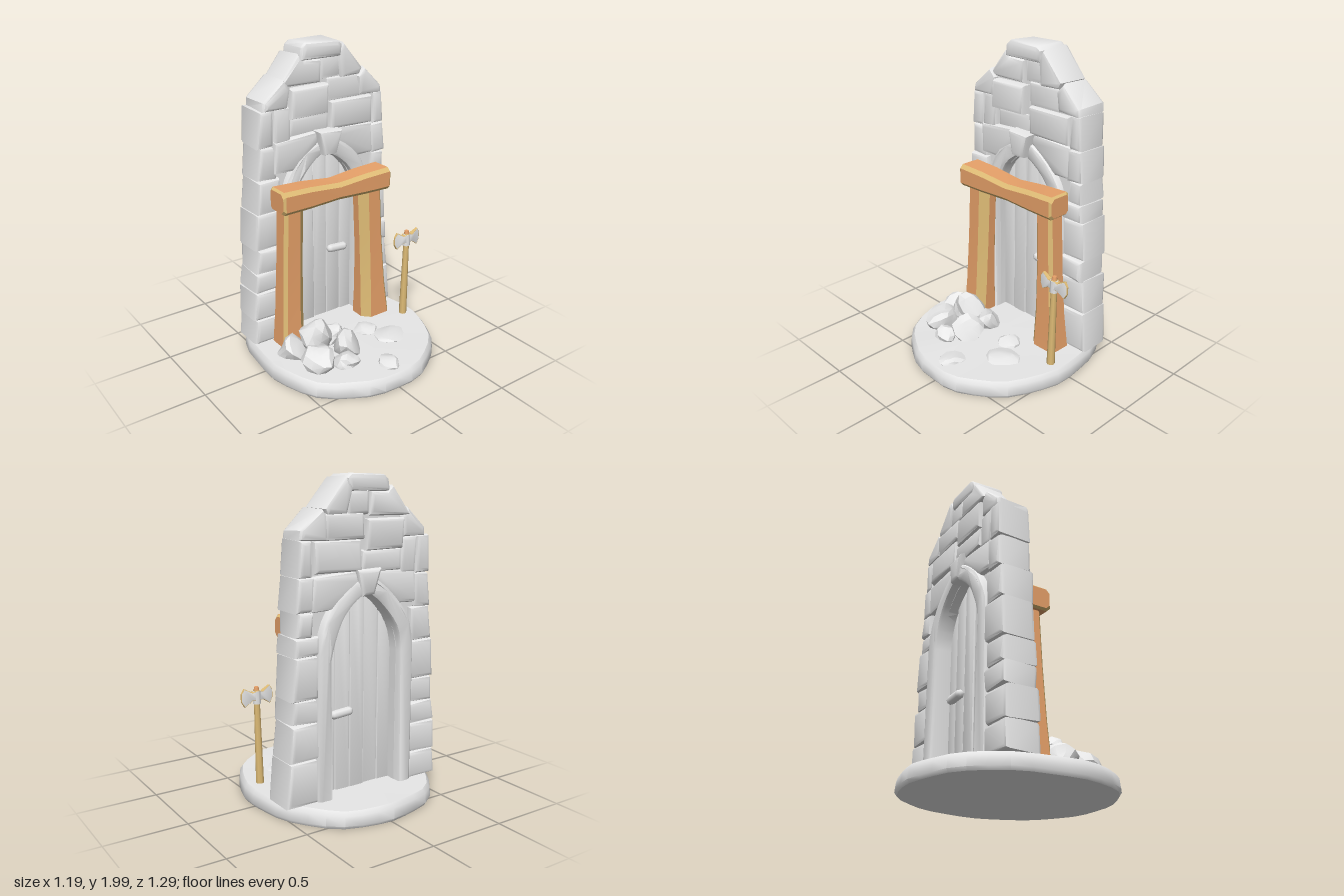
import * as THREE from 'three';
import { toCreasedNormals } from 'three/addons/utils/BufferGeometryUtils.js';

const mat = (name, color) => Object.assign(new THREE.MeshStandardMaterial({ color }), { name });

export function createModel() {
  const stone = mat('pale grey stone', 0xefefef);
  const wood = mat('orange wood', 0xeba46b);
  const worn = mat('worn tan wood', 0xdfbc76);
  const root = new THREE.Group();

  const add = (name, geo, material, parent = root) => {
    const m = new THREE.Mesh(geo, material);
    m.name = name;
    parent.add(m);
    return m;
  };
  const group = (name) => {
    const g = new THREE.Group();
    g.name = name;
    root.add(g);
    return g;
  };
  // Moves every vertex by a smooth rule so shapes look hand-hewn
  const warp = (geo, amount, freq, seed) => {
    const p = geo.attributes.position;
    for (let i = 0; i < p.count; i++) {
      const x = p.getX(i), y = p.getY(i), z = p.getZ(i);
      p.setXYZ(i,
        x + amount * Math.sin(freq * (y + z * 0.7) + seed),
        y + amount * Math.sin(freq * (x * 1.1 + z) + seed * 2.3),
        z + amount * Math.sin(freq * (x + y * 1.3) + seed * 1.7));
    }
    return geo;
  };
  const toShape = (pts) => new THREE.Shape(pts.map(([x, y]) => new THREE.Vector2(x, y)));
  const rect = (x0, x1, y0, y1) => [[x0, y0], [x1, y0], [x1, y1], [x0, y1]];
  const mirror = (pts) => pts.map(([x, y]) => [-x, y]).reverse();
  // Extrudes a shape from z0 to z1 with rounded edges
  const slab = (shape, z0, z1, b) => new THREE.ExtrudeGeometry(shape, {
    depth: z1 - z0 - 2 * b, bevelEnabled: b > 0, bevelSize: b, bevelOffset: -b,
    bevelThickness: b, bevelSegments: 2, curveSegments: 8,
  }).translate(0, 0, z0 + b);

  // Round ground slab with an uneven rim
  const profile = [[0, 0.01], [0.98, 0.01], [1, 0.03], [0.99, 0.09], [0.96, 0.115], [0.5, 0.118], [0, 0.12]];
  const base = new THREE.LatheGeometry(profile.map(([r, y]) => new THREE.Vector2(r, y)), 36);
  const bp = base.attributes.position;
  for (let i = 0; i < bp.count; i++) {
    const x = bp.getX(i), y = bp.getY(i), z = bp.getZ(i), a = Math.atan2(z, x);
    const r = 1 + 0.008 * Math.sin(5 * a + 1) + 0.008 * Math.sin(11 * a) + 0.03 * Math.sin(2 * a) ** 2;
    const bump = y > 0.05 ? 0.004 * Math.sin(7 * x + 5 * z) * Math.hypot(x, z) : 0;
    bp.setXYZ(i, x * r * 0.584 - 0.012, y + bump, z * r * 0.642);
  }
  add('groundSlab', toCreasedNormals(base, 0.7), stone);

  // Pointed arch outline
  const archPath = (Kind, w, bottom, spring, shoulder, top) => {
    const s = new Kind();
    s.moveTo(-w, bottom);
    s.lineTo(w, bottom);
    s.lineTo(w, spring);
    s.quadraticCurveTo(w * 0.94, shoulder, 0.02, top);
    s.lineTo(-0.02, top);
    s.quadraticCurveTo(-w * 0.94, shoulder, -w, spring);
    s.lineTo(-w, bottom);
    return s;
  };
  const doorHole = () => archPath(THREE.Path, 0.245, 0.11, 0.95, 1.2, 1.31);

  // Mortar core behind the stones, its sill sunk in the ground
  const coreSide = [[0.47, 0.04], [0.43, 1.2], [0.41, 1.62], [0.11, 1.93]];
  const core = toShape([...coreSide, ...mirror(coreSide)]);
  core.holes.push(doorHole());
  add('wallCore', toCreasedNormals(slab(core, -0.335, -0.18, 0), 0.6), stone);

  // Arched door surround, standing proud on both sides
  const frame = archPath(THREE.Shape, 0.345, 0.03, 0.97, 1.3, 1.42);
  frame.holes.push(doorHole());
  add('archSurround', toCreasedNormals(warp(slab(frame, -0.385, -0.135, 0.022), 0.005, 14, 0), 0.7), stone);

  // Wall stones, some standing further out at the front or back
  const wall = group('wallStones');
  let count = 0;
  const block = (pts, front = 0, back = 0) => {
    const i = count++, wobble = 0.008 * Math.sin(i * 2.7);
    const g = slab(toShape(pts), -0.372 - back + wobble * 0.5, -0.145 + front + wobble, 0.025);
    add('wallStone' + (i + 1), toCreasedNormals(warp(g, 0.004, 17, i), 0.75), stone, wall);
  };
  // Stacked edge stones: joint heights up each side
  const leftJoints = [0.11, 0.28, 0.47, 0.605, 0.76, 1, 1.21, 1.415, 1.64];
  const rightJoints = [0.11, 0.38, 0.6, 0.74, 0.99, 1.1, 1.24, 1.435, 1.64];
  for (const [joints, side] of [[leftJoints, -1], [rightJoints, 1]]) {
    for (let i = 0; i < 8; i++) {
      const outer = (y) => (side < 0 ? 0.562 : 0.545) - 0.063 * y + 0.006 * Math.sin(i * 2.1 + side);
      const y0 = joints[i], y1 = joints[i + 1];
      const inner = (y0 < 1.1 ? 0.325 : 0.36) + 0.01 * Math.sin(i * 3);
      const pts = [[inner, y0], [outer(y0), y0], [outer(y1), y1], [inner, y1]];
      block(side < 0 ? mirror(pts) : pts);
    }
  }
  // Sloping shoulders and arch springers on both sides
  const shoulder = [[0.27, 1.635], [0.44, 1.635], [0.435, 1.69], [0.3, 1.81], [0.255, 1.755]];
  const springer = [[0.05, 1.39], [0.24, 1.24], [0.38, 1.24], [0.37, 1.44], [0.06, 1.46]];
  for (const pts of [shoulder, springer]) {
    block(pts, 0.005);
    block(mirror(pts), 0.005);
  }
  // Crown
  block([[-0.32, 1.76], [-0.02, 1.76], [-0.02, 1.9], [-0.14, 1.9], [-0.18, 1.94]]);
  block([[0.13, 1.77], [0.27, 1.77], [0.29, 1.81], [0.14, 1.985], [0.1, 1.92]]);
  block([[-0.17, 1.9], [0.12, 1.9], [0.13, 1.975], [0.1, 2], [-0.13, 2], [-0.16, 1.975]]);
  // Field stones and keystone
  block(rect(-0.02, 0.14, 1.77, 1.91), -0.02, -0.01);
  block(rect(-0.26, 0.01, 1.57, 1.75), 0.025, 0.02);
  block(rect(0.02, 0.29, 1.63, 1.78), -0.01);
  block(rect(-0.37, -0.25, 1.42, 1.64), -0.005);
  block(rect(-0.25, 0.04, 1.44, 1.57), -0.015);
  block(rect(0.04, 0.36, 1.45, 1.63), 0.005, 0.01);
  block([[-0.045, 1.31], [0.045, 1.31], [0.085, 1.465], [-0.085, 1.465]], 0.065, 0.03);

  // Plank door with a pull on each side
  const door = group('door');
  const archTop = (x) => 1.35 - 1.1 * Math.abs(x) ** 1.25;
  for (let i = 0; i < 5; i++) {
    const a = -0.257 + i * 0.104, b = a + 0.101, mid = (a + b) / 2;
    const pts = [[a, 0.11], [b, 0.11], [b, archTop(b)], [mid, archTop(mid)], [a, archTop(a)]];
    const z = 0.005 * Math.sin(i * 2);
    add('doorPlank' + (i + 1), toCreasedNormals(slab(toShape(pts), -0.275 + z, -0.225 + z, 0.006), 0.7), stone, door);
  }
  for (const z of [-0.205, -0.295]) {
    const pull = add('doorPull', new THREE.CapsuleGeometry(0.028, 0.1, 3, 8), stone, door);
    pull.rotation.z = Math.PI / 2 - 0.08;
    pull.position.set(0.125, 0.605, z);
  }

  // Hewn beam: sections [x, y, z, halfWidth, halfDepth] with four corner chamfers.
  // Chamfers and the short end bevels take the worn colour.
  const beam = (sections, [c0, c1, c2, c3]) => {
    const rings = sections.map(([x, y, z, w, d]) => [
      [w, c3 - d], [w, d - c0], [w - c0, d], [c1 - w, d], [-w, d - c1], [-w, c2 - d], [c2 - w, -d], [w - c3, -d],
    ].map(([u, v]) => [x + u, y, z + v]));
    const flat = [], edge = [];
    for (let r = 0; r + 1 < rings.length; r++) {
      const A = rings[r], B = rings[r + 1], isEnd = B[0][1] - A[0][1] < 0.03;
      for (let k = 0; k < 8; k++) {
        const n = (k + 1) % 8;
        (k % 2 || isEnd ? edge : flat).push(...A[k], ...B[k], ...A[n], ...A[n], ...B[k], ...B[n]);
      }
    }
    const first = rings[0], last = rings[rings.length - 1];
    for (let k = 1; k < 7; k++) {
      flat.push(...first[0], ...first[k], ...first[k + 1]);
      flat.push(...last[0], ...last[k + 1], ...last[k]);
    }
    const raw = new THREE.BufferGeometry();
    raw.setAttribute('position', new THREE.Float32BufferAttribute([...flat, ...edge], 3));
    const g = toCreasedNormals(raw, 0.5);
    g.addGroup(0, flat.length / 3, 0);
    g.addGroup(flat.length / 3, edge.length / 3, 1);
    return g;
  };
  const timber = group('timberFrame');
  // Posts lean inwards and flare at the foot; the inner front corner is worn widest
  const post = (name, x0, x1, flare, chamfers) => {
    const sections = [0, 0.25, 0.6, 1].map((t) => [
      x0 + (x1 - x0) * t, 0.11 + 0.95 * t, -0.072 - 0.008 * t,
      0.079 + flare * (1 - t) ** 3, 0.062 + 0.02 * (1 - t) ** 3]);
    add(name, beam(sections, chamfers), [wood, worn], timber);
  };
  post('rightPost', -0.345, -0.305, 0.009, [0.05, 0.02, 0.02, 0.02]);
  post('leftPost', 0.315, 0.272, 0.026, [0.02, 0.05, 0.02, 0.02]);
  // Lintel is built upright, then laid along x; thinner at its middle and ends
  const lintel = [-0.42, -0.405, -0.22, 0, 0.2, 0.378, 0.392].map((x, i) => {
    const end = i === 0 || i === 6 ? 0.012 : 0;
    const waist = 0.018 * Math.exp(-30 * x * x);
    return [-1.108 + waist * 0.5, x, -0.055, 0.074 - waist - end, 0.084 - waist * 0.5 - end];
  });
  add('lintel', beam(lintel, [0.024, 0.024, 0.015, 0.015]).rotateZ(-Math.PI / 2), [wood, worn], timber);

  // Fallen rocks: position, then half sizes
  const rocks = group('rubble');
  const rock = (x, y, z, a, b, c) => {
    const i = rocks.children.length;
    const g = warp(new THREE.IcosahedronGeometry(1, 1), 0.16, 2.6, i * 1.9 + 1).scale(a, b, c);
    add('rock' + (i + 1), toCreasedNormals(g, 0.42), stone, rocks).position.set(x, y, z);
  };
  rock(-0.42, 0.14, 0.07, 0.09, 0.09, 0.09);
  rock(-0.26, 0.2, 0.1, 0.11, 0.12, 0.1);
  rock(-0.35, 0.15, 0.27, 0.1, 0.09, 0.11);
  rock(-0.21, 0.13, 0.36, 0.08, 0.06, 0.07);
  rock(-0.12, 0.16, 0.24, 0.09, 0.1, 0.09);
  rock(-0.12, 0.15, 0.07, 0.08, 0.08, 0.08);
  rock(0.13, 0.115, 0.11, 0.08, 0.035, 0.07);
  rock(0.22, 0.11, 0.25, 0.12, 0.025, 0.11);
  rock(0.02, 0.115, 0.5, 0.07, 0.035, 0.08);

  // Double-bladed axe leaning beside the door, with tan blade rims
  const axe = group('axe');
  add('axeShaft', new THREE.CylinderGeometry(0.018, 0.026, 0.6, 8).translate(0, 0.3, 0), worn, axe);
  add('axeShaftTip', new THREE.CylinderGeometry(0.014, 0.018, 0.02, 8).translate(0, 0.61, 0), wood, axe);
  const blade = [[0, 0.535], [0.035, 0.54], [0.085, 0.505], [0.106, 0.54], [0.106, 0.59], [0.085, 0.62], [0.035, 0.59], [0, 0.6]];
  for (const pts of [blade, mirror(blade)]) {
    const g = slab(toShape(pts), -0.022, 0.022, 0.003);
    const p = g.attributes.position;
    for (let i = 0; i < p.count; i++) p.setZ(i, p.getZ(i) * (1 - 7 * Math.abs(p.getX(i))));
    add('axeBlade', toCreasedNormals(g, 0.5), [stone, worn], axe);
  }
  add('axeSocket', new THREE.CylinderGeometry(0.026, 0.026, 0.08, 8).translate(0, 0.555, 0), stone, axe);
  axe.position.set(0.478, 0.115, 0.085);
  axe.rotation.z = -0.02;
  return root;
}
